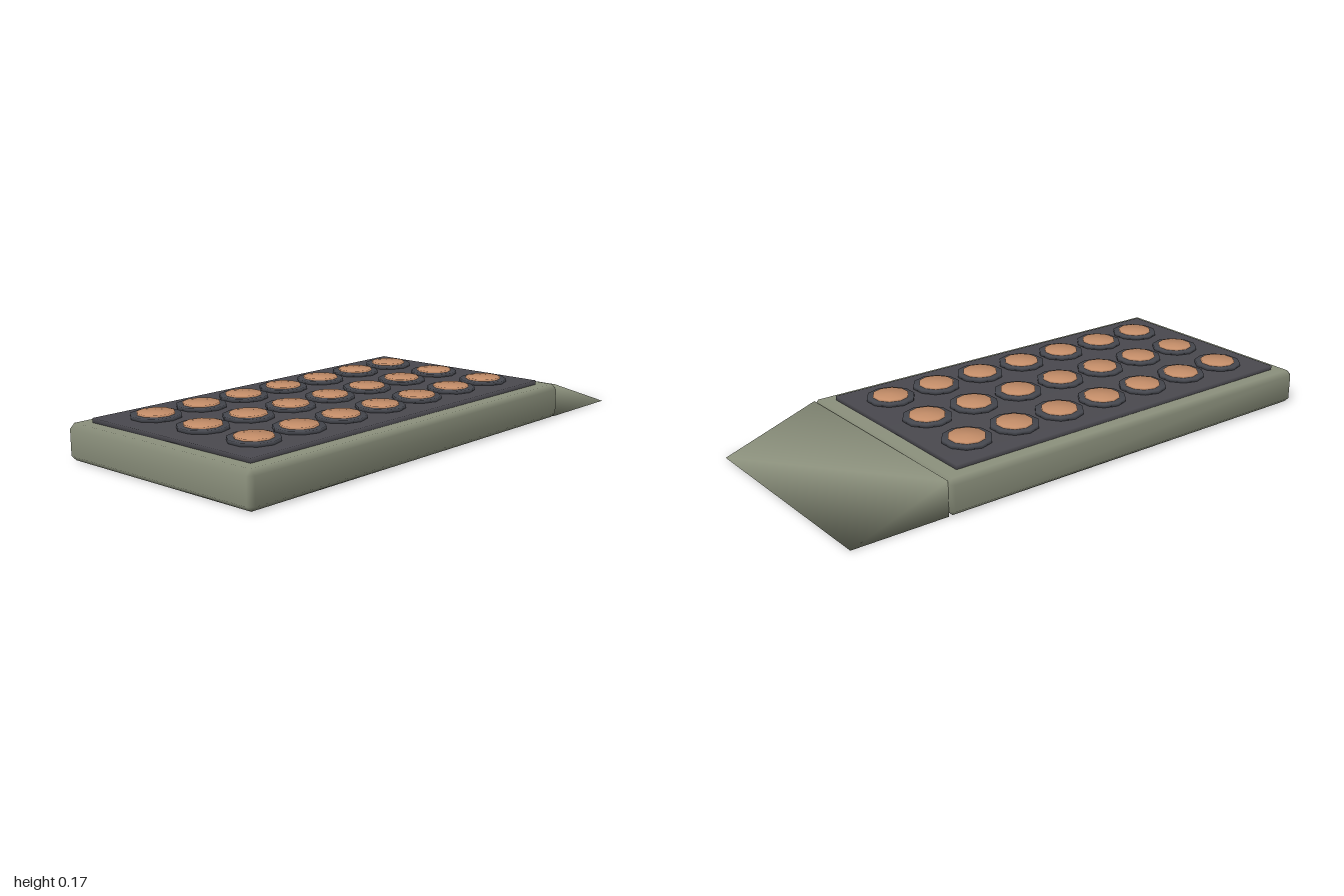
import * as THREE from 'three';
import { mergeVertices } from 'three/addons/utils/BufferGeometryUtils.js';
import { ConvexGeometry } from 'three/addons/geometries/ConvexGeometry.js';

const paint = (color) => new THREE.MeshStandardMaterial({ color });
const casing = paint(0x8c917d);
const dark = paint(0x4a494f);
const rim = paint(0x45474e);
const copper = paint(0xc58e69);

// Weld all corners so the shading runs smoothly over the edges
function smooth(geometry) {
  geometry.deleteAttribute('normal');
  geometry.deleteAttribute('uv');
  const welded = mergeVertices(geometry, 1e-4);
  welded.computeVertexNormals();
  return welded;
}

function part(parent, name, geometry, material, x = 0, y = 0, z = 0) {
  const mesh = new THREE.Mesh(smooth(geometry), material);
  mesh.name = name;
  mesh.position.set(x, y, z);
  parent.add(mesh);
  return mesh;
}

// Box with every edge cut by a single chamfer
function chamferedBox(w, h, d, r) {
  const points = [];
  for (const i of [-1, 1]) for (const j of [-1, 1]) for (const k of [-1, 1]) {
    const [x, y, z] = [w / 2, h / 2, d / 2];
    points.push(
      new THREE.Vector3(i * x, j * (y - r), k * (z - r)),
      new THREE.Vector3(i * (x - r), j * y, k * (z - r)),
      new THREE.Vector3(i * (x - r), j * (y - r), k * z));
  }
  return new ConvexGeometry(points);
}

// Ramp: triangular profile drawn across the width
function ramp(x0, x1, h, width) {
  const profile = new THREE.Shape([
    new THREE.Vector2(x0, 0), new THREE.Vector2(x1, 0), new THREE.Vector2(x0, h)]);
  return new THREE.ExtrudeGeometry(profile, { depth: width, bevelEnabled: false })
    .translate(0, 0, -width / 2);
}

export function createModel() {
  const model = new THREE.Group();
  model.name = 'studdedSlab';

  part(model, 'body', chamferedBox(1.638, 0.13, 0.894, 0.018), casing, -0.181, 0.065, 0);
  part(model, 'ramp', ramp(0.636, 1, 0.127, 0.862), casing);
  part(model, 'topPanel', new THREE.BoxGeometry(1.51, 0.03, 0.77), dark, -0.184, 0.131, 0);

  // Three rows of seven round studs
  for (let row = 0; row < 3; row++) {
    for (let col = 0; col < 7; col++) {
      const stud = new THREE.Group();
      stud.name = `stud${row + 1}_${col + 1}`;
      stud.position.set(-0.786 + col * 0.2018, 0.14, (row - 1) * 0.239);
      part(stud, 'studRim', new THREE.CylinderGeometry(0.089, 0.089, 0.018, 10), rim, 0, 0.009, 0);
      part(stud, 'studCap', new THREE.CylinderGeometry(0.066, 0.066, 0.02, 10), copper, 0, 0.015, 0);
      model.add(stud);
    }
  }
  return model;
}
